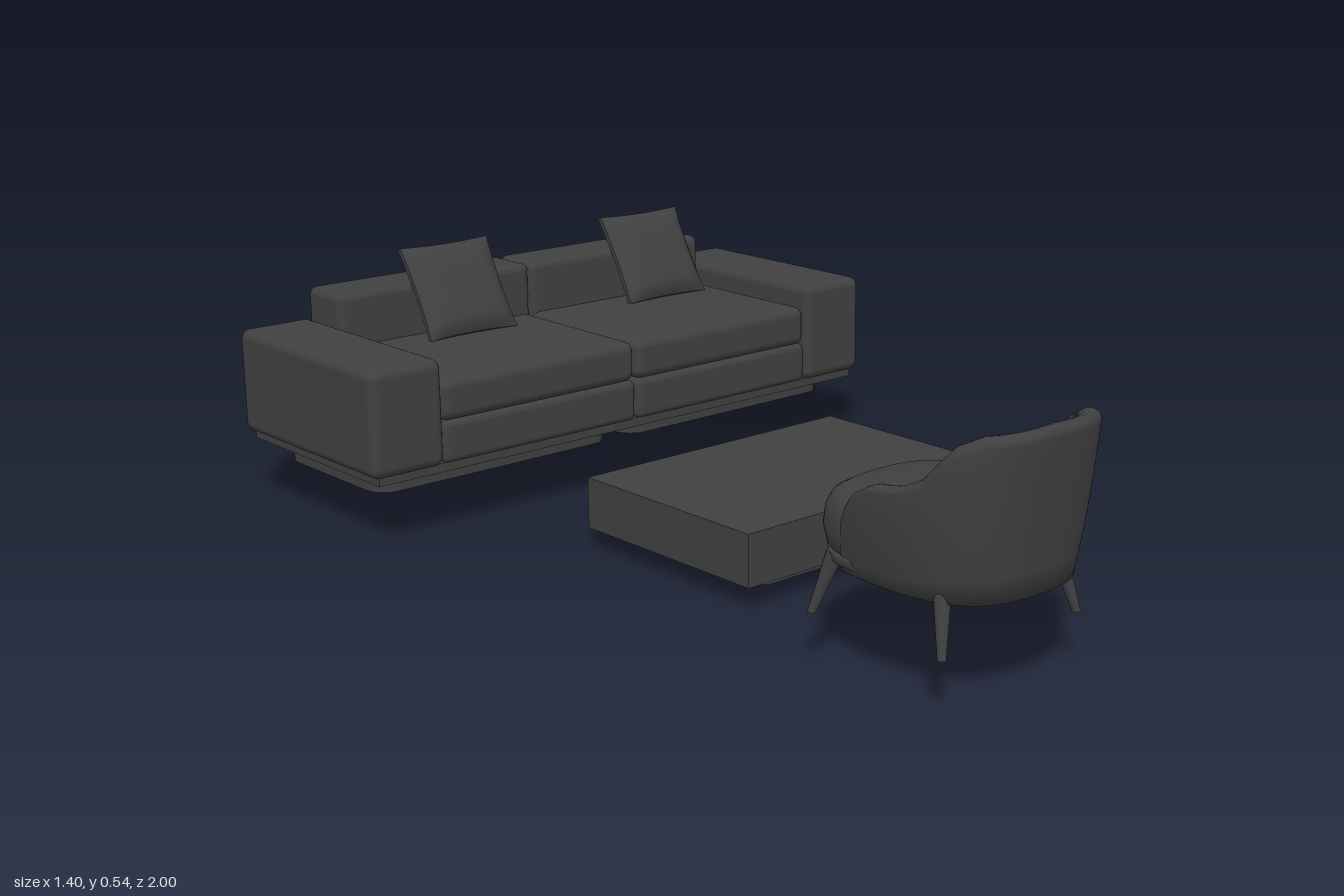
import * as THREE from 'three';
import { RoundedBoxGeometry } from 'three/addons/geometries/RoundedBoxGeometry.js';

const material = new THREE.MeshStandardMaterial({ color: 0x404040, side: THREE.DoubleSide });

function add(parent, name, geometry, x = 0, y = 0, z = 0) {
  const mesh = new THREE.Mesh(geometry, material);
  mesh.name = name;
  mesh.position.set(x, y, z);
  parent.add(mesh);
  return mesh;
}

function group(parent, name) {
  const g = new THREE.Group();
  g.name = name;
  parent.add(g);
  return g;
}

// Box given by its limits, with rounded edges when r > 0
function block(parent, name, [x0, x1], [y0, y1], [z0, z1], r = 0) {
  const w = x1 - x0, h = y1 - y0, d = z1 - z0;
  const geo = r ? new RoundedBoxGeometry(w, h, d, 4, r) : new THREE.BoxGeometry(w, h, d);
  add(parent, name, geo, (x0 + x1) / 2, (y0 + y1) / 2, (z0 + z1) / 2);
}

function roundedRect(target, w, d, r) {
  const x = w / 2, y = d / 2;
  target.moveTo(-x + r, -y);
  target.absarc(x - r, -y + r, r, -Math.PI / 2, 0);
  target.absarc(x - r, y - r, r, 0, Math.PI / 2);
  target.absarc(-x + r, y - r, r, Math.PI / 2, Math.PI);
  target.absarc(-x + r, -y + r, r, Math.PI, Math.PI * 1.5);
  return target;
}

// Hollow plinth with rounded corners
function plinth(parent, name, w, d, h, x, y, z) {
  const shape = roundedRect(new THREE.Shape(), w, d, 0.05);
  shape.holes.push(roundedRect(new THREE.Path(), w - 0.02, d - 0.02, 0.04));
  const geo = new THREE.ExtrudeGeometry(shape, { depth: h, bevelEnabled: false, curveSegments: 8 });
  geo.rotateX(-Math.PI / 2);
  add(parent, name, geo, x, y, z);
}

// Scatter pillow: thick in the middle, thin at the seams
function pillowGeometry(w, h, t) {
  const geo = new THREE.BoxGeometry(w, h, t, 14, 14, 2);
  const p = geo.attributes.position;
  for (let i = 0; i < p.count; i++) {
    const u = p.getX(i) * 2 / w, v = p.getY(i) * 2 / h;
    const puff = Math.sqrt(Math.max(0, 1 - u ** 4) * Math.max(0, 1 - v ** 4));
    p.setXYZ(i, p.getX(i) * (1 - 0.04 * (1 - v * v)), p.getY(i) * (1 - 0.04 * (1 - u * u)),
      p.getZ(i) * (0.18 + 0.82 * puff));
  }
  geo.computeVertexNormals();
  return geo;
}

function buildSofa(root) {
  const sofa = group(root, 'sofa');
  block(sofa, 'sofaDeck', [-0.68, 0.68], [0.14, 0.16], [-0.985, -0.48]);
  for (const s of [-1, 1]) {
    const span = (a, b) => (s > 0 ? [a, b] : [-b, -a]);
    block(sofa, 'armrest', span(0.522, 0.7), [0.157, 0.39], [-1, -0.465], 0.022);
    block(sofa, 'seatBase', span(0.002, 0.522), [0.157, 0.25], [-0.9, -0.472], 0.015);
    block(sofa, 'seatCushion', span(0.002, 0.522), [0.248, 0.34], [-0.9, -0.472], 0.022);
    block(sofa, 'backCushion', span(0.002, 0.522), [0.157, 0.46], [-1, -0.865], 0.018);
    plinth(sofa, 'sofaPlinth', 0.62, 0.38, 0.04, s * 0.335, 0.1, -0.73);
  }
  for (const x of [-0.222, 0.352]) {
    const pillow = add(sofa, 'pillow', pillowGeometry(0.236, 0.226, 0.062), x, 0.436, -0.842);
    pillow.rotation.x = -0.52;
  }
}

function buildTable(root) {
  const table = group(root, 'coffeeTable');
  block(table, 'tableTop', [-0.35, 0.35], [0.045, 0.155], [-0.205, 0.295]);
  plinth(table, 'tablePlinth', 0.52, 0.33, 0.045, 0, 0, 0.05);
}

// Height of the wraparound back by angle from the middle of the back
const RIM = [[0, 0.505], [40, 0.498], [55, 0.478], [64, 0.445], [72, 0.41], [82, 0.39],
  [95, 0.375], [106, 0.355], [113, 0.325], [118, 0.285], [120, 0.24]];
function rimHeight(a) {
  let i = 1;
  while (i < RIM.length - 1 && RIM[i][0] < a) i++;
  const [a0, h0] = RIM[i - 1], [a1, h1] = RIM[i];
  return h0 + (h1 - h0) * (a - a0) / (a1 - a0);
}

// Point of the shell at an angle, a height and an inset from its outer face
function shellPoint(deg, y, side, back) {
  const a = Math.abs(deg), k = (y - 0.19) / 0.31;
  const w = 0.178 + 0.024 * Math.sin(Math.min(1, k * 1.6) * Math.PI / 2) - side;
  const d = 0.215 + 0.045 * k - back;
  const rad = Math.min(a, 90) * Math.PI / 180, f = Math.max(0, a - 90) / 30;
  const x = w * Math.sin(rad) ** 0.7 * (1 - 0.05 * f * f);
  const z = 0.74 + d * Math.max(0, Math.cos(rad)) ** 0.7 - 0.095 * f;
  return [Math.sign(deg) * x, y, z];
}

function shellGeometry() {
  const pos = [], index = [], cols = 96, n = 19;
  for (let i = 0; i <= cols; i++) {
    const deg = -120 + 240 * i / cols, top = rimHeight(Math.abs(deg));
    const at = (q, side, back) => pos.push(...shellPoint(deg, 0.195 + (top - 0.195) * q, side, back));
    for (let j = 0; j < 7; j++) at(j / 6 * 0.94, 0, 0);                  // outer face
    for (let j = 1; j < 6; j++) {                                       // rounded rim
      const c = (1 - Math.cos(j / 6 * Math.PI)) / 2;
      at(0.94 + 0.06 * Math.sin(j / 6 * Math.PI), 0.04 * c, 0.04 * c);
    }
    for (let j = 0; j < 7; j++) {                                       // inner face
      const q = (1 - j / 6) * 0.94;
      at(q, 0.04 + 0.012 * (1 - q), 0.04 + 0.1 * (1 - q) ** 1.3);
    }
  }
  for (let i = 0; i < cols; i++) {
    for (let j = 0; j < n; j++) {
      const a = i * n + j, b = i * n + (j + 1) % n;
      index.push(a, a + n, b, b, a + n, b + n);
    }
  }
  // close both arm tips
  const e = cols * n;
  for (let j = 1; j < n - 1; j++) index.push(0, j, j + 1, e, e + j + 1, e + j);
  const geo = new THREE.BufferGeometry();
  geo.setAttribute('position', new THREE.Float32BufferAttribute(pos, 3));
  geo.setIndex(index);
  geo.computeVertexNormals();
  return geo;
}

// Lathe profile squared off into a soft oval plan
function seatGeometry(profile, width, front, back) {
  const geo = new THREE.LatheGeometry(profile.map(([r, y]) => new THREE.Vector2(r, y)), 64);
  const p = geo.attributes.position;
  const soft = (v) => Math.sign(v) * Math.abs(v) ** 0.75;
  for (let i = 0; i < p.count; i++) {
    const x = p.getX(i), z = p.getZ(i), r = Math.hypot(x, z) || 1;
    p.setX(i, soft(x / r) * r * width);
    p.setZ(i, soft(z / r) * r * (z < 0 ? front : back));
  }
  geo.computeVertexNormals();
  return geo;
}

function buildChair(root) {
  const chair = group(root, 'armchair');
  chair.position.x = -0.27;
  add(chair, 'chairShell', shellGeometry());
  const cushion = [[0, 0.215], [0.9, 0.215], [0.96, 0.228], [1, 0.262], [0.98, 0.295],
    [0.92, 0.318], [0.8, 0.33], [0.5, 0.335], [0, 0.336]];
  add(chair, 'chairSeat', seatGeometry(cushion, 0.185, 0.175, 0.15), 0, 0, 0.7);
  const base = [[0, 0.193], [0.88, 0.195], [0.96, 0.205], [0.97, 0.225], [0, 0.23]];
  add(chair, 'chairBase', seatGeometry(base, 0.186, 0.17, 0.26), 0, 0, 0.7);
  // splayed tapering legs
  for (const s of [-1, 1]) {
    for (const [z0, z1] of [[0.605, 0.572], [0.865, 0.892]]) {
      const from = new THREE.Vector3(s * 0.15, 0.215, z0), to = new THREE.Vector3(s * 0.177, 0.1, z1);
      const dir = from.clone().sub(to);
      const leg = add(chair, 'chairLeg', new THREE.CylinderGeometry(0.017, 0.008, dir.length(), 12));
      leg.position.copy(from).add(to).multiplyScalar(0.5);
      leg.quaternion.setFromUnitVectors(new THREE.Vector3(0, 1, 0), dir.normalize());
    }
  }
}

export function createModel() {
  const root = new THREE.Group();
  root.name = 'loungeSet';
  buildSofa(root);
  buildTable(root);
  buildChair(root);
  return root;
}
